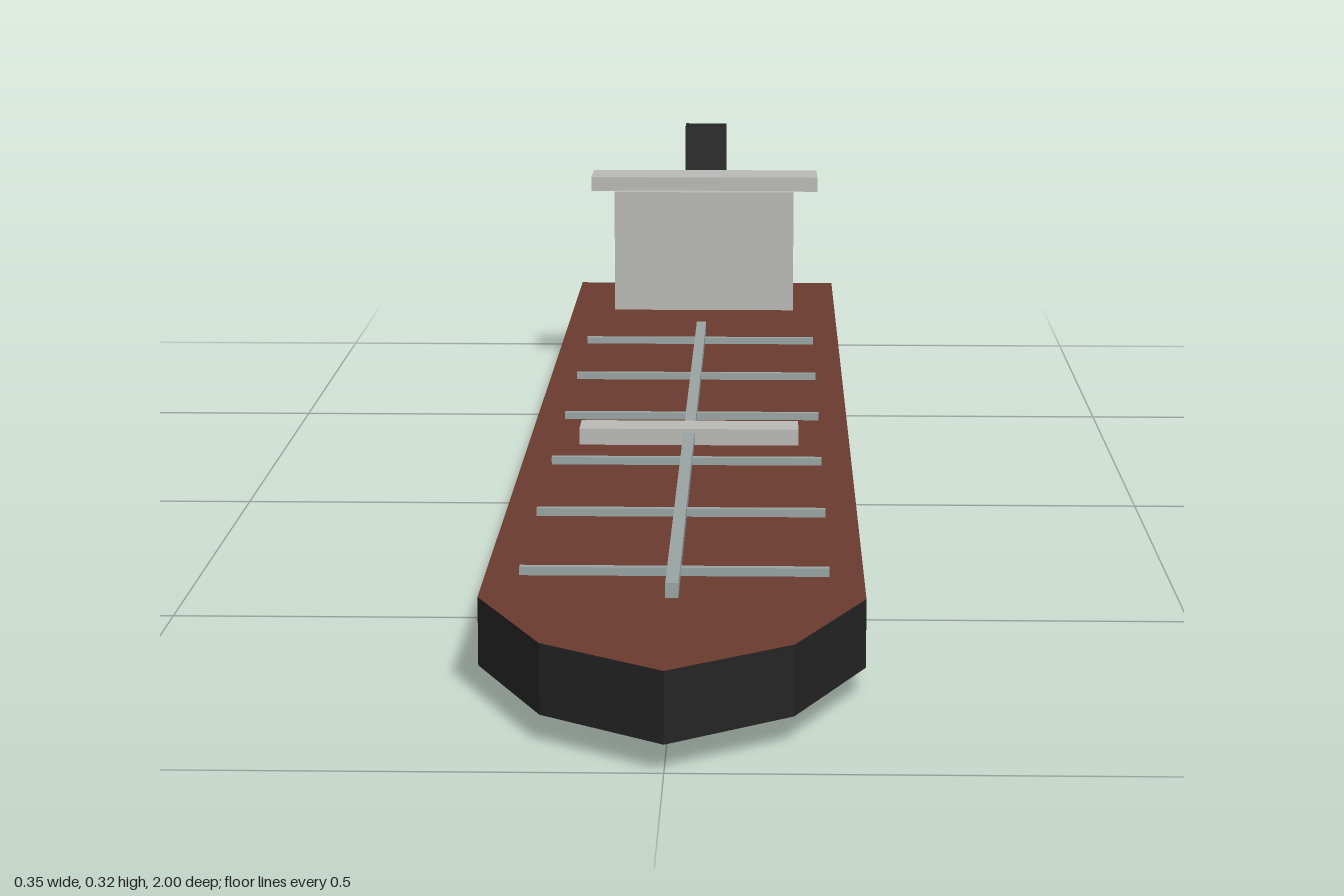
import * as THREE from 'three';

const mat = (name, color) => {
  const m = new THREE.MeshStandardMaterial({ color });
  m.name = name;
  return m;
};

// Deck outline (x, z), counter-clockwise seen from above, starting at the stem
const OUTLINE = [
  [0, 1], [0.11, 0.915], [0.176, 0.76], [0.176, -1],
  [-0.176, -1], [-0.176, 0.76], [-0.11, 0.915],
];

// Horizontal ring of the hull at height y, scaled and shifted along z
const ring = (y, scale = 1, shift = 0) =>
  OUTLINE.map(([x, z]) => [x * scale, y, z * scale + shift]);

// Side strip between two rings
function wall(lower, upper) {
  const tris = [];
  lower.forEach((a, i) => {
    const j = (i + 1) % lower.length;
    tris.push(a, lower[j], upper[j], a, upper[j], upper[i]);
  });
  return tris;
}

// Flat convex cap over a ring
function cap(points, up) {
  const tris = [];
  for (let i = 1; i < points.length - 1; i++) {
    tris.push(points[0], ...(up ? [points[i], points[i + 1]] : [points[i + 1], points[i]]));
  }
  return tris;
}

function faceMesh(name, tris, material) {
  const geo = new THREE.BufferGeometry();
  geo.setAttribute('position', new THREE.Float32BufferAttribute(tris.flat(), 3));
  geo.computeVertexNormals();
  const mesh = new THREE.Mesh(geo, material);
  mesh.name = name;
  return mesh;
}

// Box given by its minimum and maximum corners
function block(name, [x0, y0, z0], [x1, y1, z1], material) {
  const mesh = new THREE.Mesh(new THREE.BoxGeometry(x1 - x0, y1 - y0, z1 - z0), material);
  mesh.position.set((x0 + x1) / 2, (y0 + y1) / 2, (z0 + z1) / 2);
  mesh.name = name;
  return mesh;
}

export function createModel() {
  const black = mat('hullBlack', 0x242424);
  const red = mat('bottomRed', 0x6b2418);
  const brown = mat('deckBrown', 0x6b3a30);
  const grey = mat('houseGrey', 0xb9b9b5);
  const steel = mat('pipeGrey', 0x98a4a2);

  const ship = new THREE.Group();
  ship.name = 'tankerShip';

  // Hull: tapered bottom, upright sides, flat deck
  const keel = ring(0, 0.855, 0.055);
  const waterline = ring(0.025);
  const rail = ring(0.089);
  ship.add(
    faceMesh('hullBottom', [...wall(keel, waterline), ...cap(keel, false)], red),
    faceMesh('hullSides', wall(waterline, rail), black),
    faceMesh('deck', cap(rail, true), brown),
  );

  // Superstructure at the stern
  ship.add(
    block('deckhouse', [-0.12, 0.089, -0.917], [0.12, 0.249, -0.773], grey),
    block('bridge', [-0.152, 0.248, -0.865], [0.152, 0.267, -0.789], grey),
    block('funnel', [-0.028, 0.23, -0.953], [0.028, 0.321, -0.907], black),
  );

  // Cargo piping on deck
  ship.add(
    block('mainPipe', [-0.006, 0.089, -0.605], [0.006, 0.103, 0.76], steel),
    block('manifold', [-0.12, 0.089, 0.053], [0.12, 0.107, 0.099], grey),
  );
  for (let i = 0; i < 6; i++) {
    const z = -0.522 + i * 0.2395;
    ship.add(block('crossPipe', [-0.144, 0.089, z - 0.004], [0.144, 0.097, z + 0.004], steel));
  }
  return ship;
}
